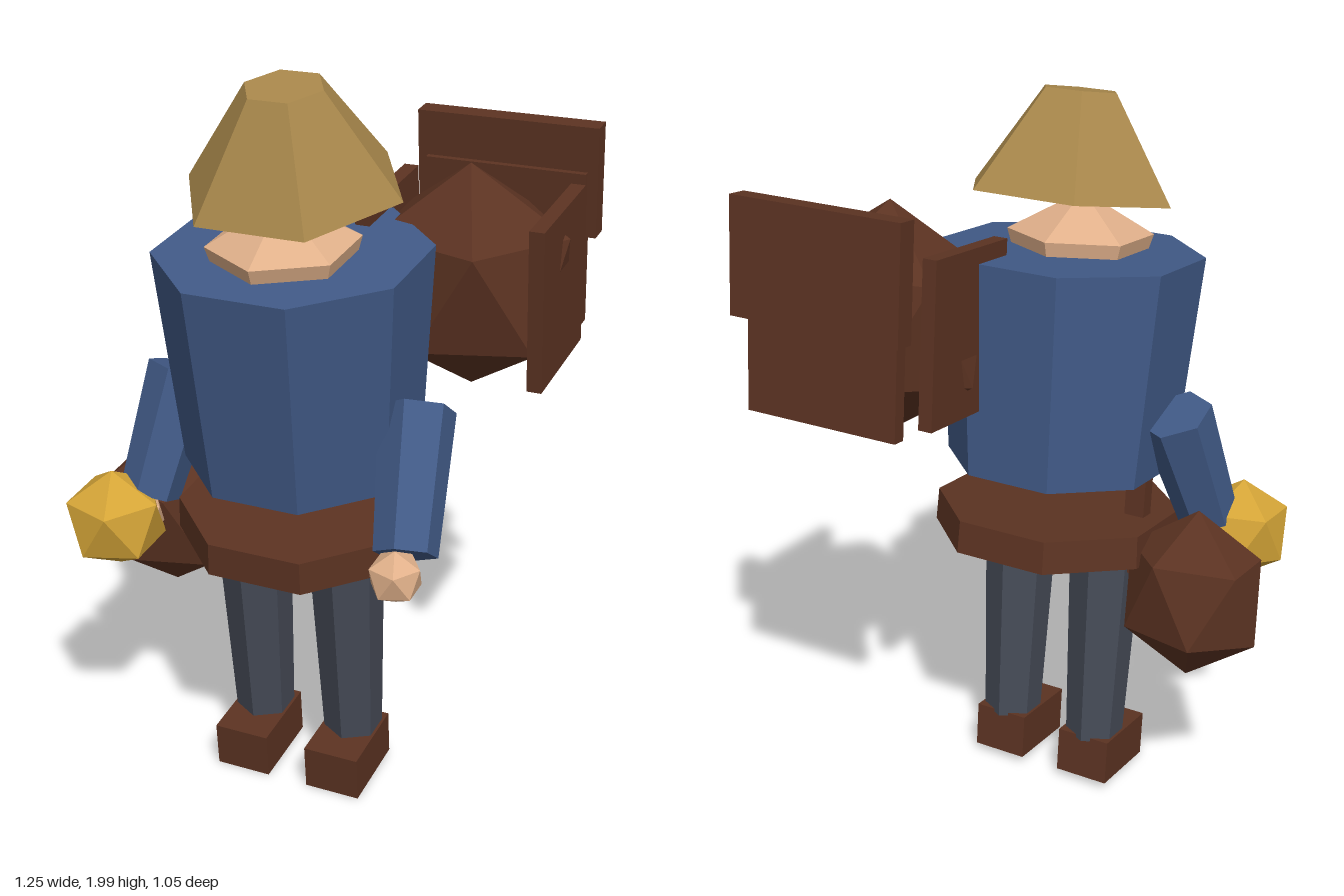
import * as THREE from 'three';

const LEAN = 0.1; // the whole figure leans slightly forward

function flat(name, color) {
  const m = new THREE.MeshStandardMaterial({ color, flatShading: true });
  m.name = name;
  return m;
}

export function createModel() {
  const blue = flat('blue cloth', 0x415a87);
  const brown = flat('brown leather', 0x5c3322);
  const grey = flat('grey trousers', 0x464b57);
  const skin = flat('skin', 0xe0b08a);
  const straw = flat('straw', 0xa8874b);
  const gold = flat('gold', 0xd4a437);

  const model = new THREE.Group();
  model.name = 'traveller';

  function add(parent, name, geometry, material, x, y, z) {
    const mesh = new THREE.Mesh(geometry, material);
    mesh.name = name;
    mesh.position.set(x, y, z);
    parent.add(mesh);
    return mesh;
  }

  // Icosahedron standing on a vertex, scaled to an ellipsoid
  function gem(rx, ry = rx, rz = rx) {
    return new THREE.IcosahedronGeometry(1, 0)
      .rotateZ(-Math.atan(2 / (1 + Math.sqrt(5))))
      .scale(rx, ry, rz);
  }

  // Prism with a flat side facing forward
  function prism(rTop, rBottom, height, sides) {
    return new THREE.CylinderGeometry(rTop, rBottom, height, sides).rotateY(Math.PI / sides);
  }

  const body = new THREE.Group();
  body.name = 'body';
  body.position.x = 0.008;
  body.rotation.x = LEAN;
  model.add(body);

  // Torso and belt
  add(body, 'torso', prism(0.36, 0.315, 0.59, 8), blue, 0, 1.276, 0.023);
  add(body, 'belt', prism(0.34, 0.345, 0.09, 8), brown, 0, 0.807, 0.027);
  add(body, 'strap', new THREE.BoxGeometry(0.058, 0.3, 0.045), brown, -0.233, 0.83, 0.058);

  // Legs and shoes
  for (const [side, s] of [['left', 1], ['right', -1]]) {
    add(body, side + 'Leg', new THREE.CylinderGeometry(0.104, 0.082, 0.64, 6), grey, s * 0.138, 0.465, 0.07);
    add(body, side + 'Shoe', new THREE.BoxGeometry(0.158, 0.13, 0.23), brown, s * 0.138, 0.09, 0.116);
  }

  // Head, six-sided
  const profile = [[0, -0.14], [0.15, -0.14], [0.18, -0.07], [0.198, -0.01], [0, 0.1]]
    .map(([r, y]) => new THREE.Vector2(r, y));
  add(body, 'head', new THREE.LatheGeometry(profile, 6), skin, 0, 1.62, 0.069);

  // Hat, tipped a little further forward
  const hat = add(body, 'hat', prism(0.106, 0.294, 0.27, 6), straw, 0, 1.857, 0.011);
  hat.rotation.x = 0.09;

  // Arms: tapered prisms from shoulder to wrist
  function arm(name, from, to) {
    const a = new THREE.Vector3(...from);
    const b = new THREE.Vector3(...to);
    const dir = a.clone().sub(b);
    const mesh = add(model, name, new THREE.CylinderGeometry(0.1, 0.083, dir.length(), 6), blue, 0, 0, 0);
    mesh.position.copy(a).add(b).multiplyScalar(0.5);
    mesh.quaternion.setFromUnitVectors(new THREE.Vector3(0, 1, 0), dir.normalize());
  }
  arm('leftArm', [0.35, 1.18, 0.165], [0.41, 0.88, 0.38]);
  arm('rightArm', [-0.335, 1.165, 0.135], [-0.39, 0.835, 0.25]);

  // Hands, the golden ball and the hip pouch
  const rounds = [
    ['leftHand', gem(0.074), skin, 0.413, 0.855, 0.453],
    ['rightHand', gem(0.074), skin, -0.405, 0.785, 0.29],
    ['goldenBall', gem(0.145), gold, -0.458, 0.777, 0.322],
    ['hipPouch', gem(0.215, 0.24, 0.165), brown, -0.44, 0.69, 0.055],
  ];
  for (const r of rounds) add(model, ...r).rotation.x = LEAN;

  // Pack behind the left shoulder, framed by boards
  const pack = new THREE.Group();
  pack.name = 'pack';
  pack.position.set(0.35, 1.42, -0.2);
  pack.rotation.x = LEAN;
  model.add(pack);
  add(pack, 'packBag', gem(0.3, 0.316, 0.255), brown, 0, 0, 0);
  for (const s of [-1, 1]) {
    add(pack, s > 0 ? 'leftBoard' : 'rightBoard', new THREE.BoxGeometry(0.04, 0.445, 0.34), brown, s * 0.234, 0, 0);
  }
  add(pack, 'upperBackBoard', new THREE.BoxGeometry(0.51, 0.31, 0.058), brown, 0, 0.186, -0.304);
  add(pack, 'lowerBackBoard', new THREE.BoxGeometry(0.455, 0.44, 0.038), brown, 0, -0.004, -0.277);

  return model;
}
